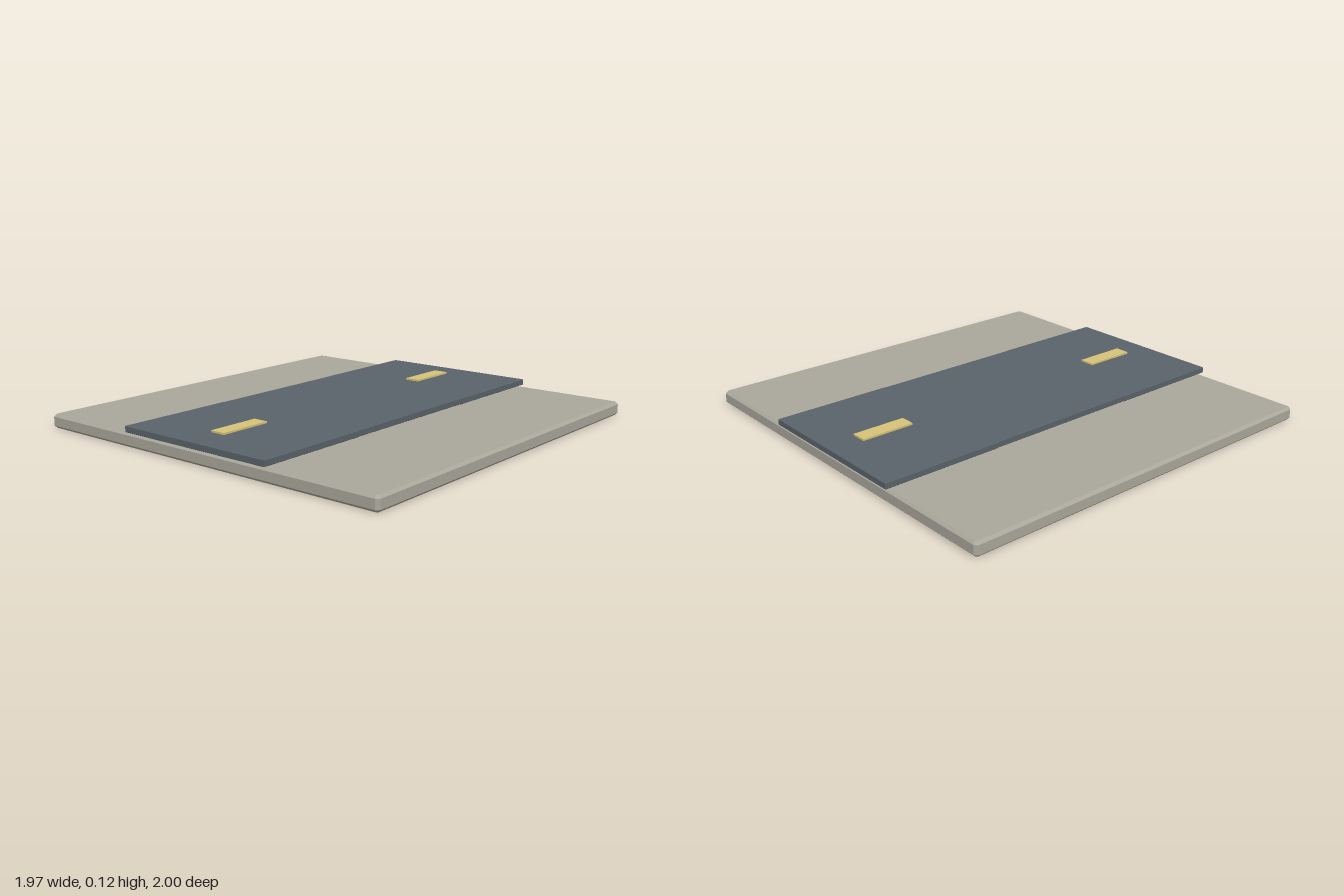
import * as THREE from 'three';

const material = (color) => new THREE.MeshStandardMaterial({ color, flatShading: true });

// Flat plate from a plan outline of [x, z] points, with chamfered rims
function plate(name, outline, y0, y1, chamfer, color) {
  const shape = new THREE.Shape(outline.map(([x, z]) => new THREE.Vector2(x, z)));
  const geometry = new THREE.ExtrudeGeometry(shape, {
    depth: y1 - y0 - 2 * chamfer,
    bevelEnabled: true,
    bevelThickness: chamfer,
    bevelSize: chamfer,
    bevelOffset: -chamfer,
    bevelSegments: 1,
  });
  geometry.rotateX(-Math.PI / 2).translate(0, y0 + chamfer, 0);
  const mesh = new THREE.Mesh(geometry, material(color));
  mesh.name = name;
  return mesh;
}

export function createModel() {
  const group = new THREE.Group();
  group.name = 'roadTile';

  // Square ground slab with clipped corners
  const s = 0.987, c = 0.014, k = s - c;
  group.add(plate('groundSlab', [
    [s, -k], [s, k], [k, s], [-k, s], [-s, k], [-s, -k], [-k, -s], [k, -s],
  ], 0, 0.068, 0.012, 0xaaa79b));

  // Road deck, slightly overhanging the slab, its sides a touch slimmer mid-way
  const w = 0.426, m = 0.423;
  group.add(plate('roadDeck', [
    [w, -1], [w, -0.4], [m, -0.4], [m, 0.4], [w, 0.4], [w, 1],
    [-w, 1], [-w, 0.4], [-m, 0.4], [-m, -0.4], [-w, -0.4], [-w, -1],
  ], 0.074, 0.104, 0.002, 0x59636a));

  // Two lane dashes on the centre line
  for (const side of [-1, 1]) {
    const dash = new THREE.Mesh(new THREE.BoxGeometry(0.076, 0.009, 0.268), material(0xd6c278));
    dash.name = side > 0 ? 'frontLaneDash' : 'backLaneDash';
    dash.position.set(0, 0.1125, side * 0.71);
    group.add(dash);
  }
  return group;
}
